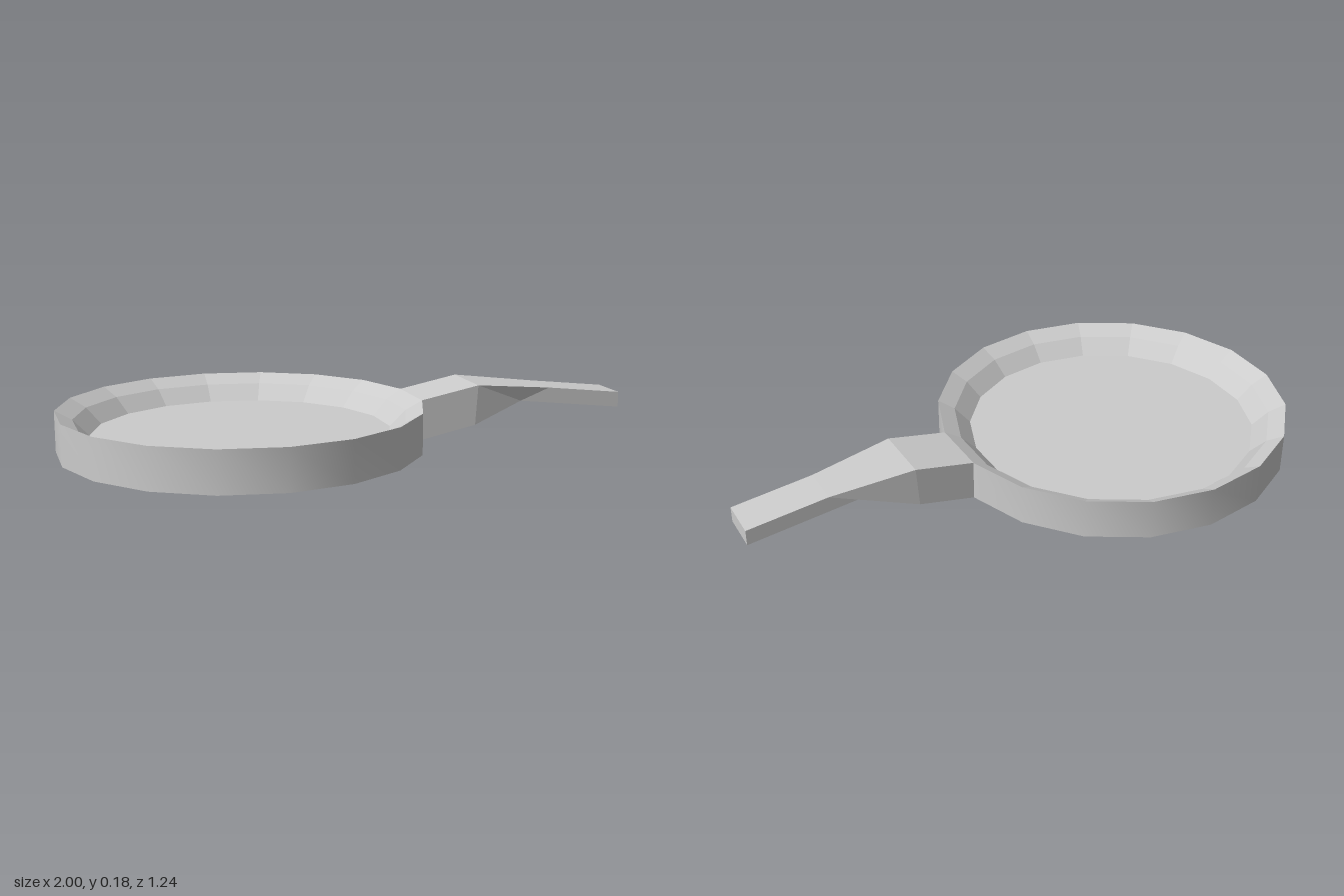
import * as THREE from 'three';
import { toCreasedNormals } from 'three/addons/utils/BufferGeometryUtils.js';

const SIDES = 18;
const PAN_X = -0.39;

// Revolved pan surface from [radius, height] points
function turned(name, points, material, crease) {
  const profile = points.map(([r, y]) => new THREE.Vector2(r, y));
  const geometry = toCreasedNormals(new THREE.LatheGeometry(profile, SIDES), crease);
  const mesh = new THREE.Mesh(geometry, material);
  mesh.name = name;
  mesh.position.x = PAN_X;
  return mesh;
}

// Box-like loft along +x; each section gives its top and bottom edges
function handleGeometry(sections) {
  const positions = [];
  const index = [];
  for (const { top, bottom, half } of sections) {
    positions.push(
      bottom[0], bottom[1], half,
      bottom[0], bottom[1], -half,
      top[0], top[1], -half,
      top[0], top[1], half
    );
  }
  for (let s = 0; s < sections.length - 1; s++) {
    for (let k = 0; k < 4; k++) {
      const a = s * 4 + k;
      const b = s * 4 + (k + 1) % 4;
      index.push(a, b, b + 4, a, b + 4, a + 4);
    }
  }
  // End cap facing +x
  const e = (sections.length - 1) * 4;
  index.push(e, e + 1, e + 2, e, e + 2, e + 3);
  const geometry = new THREE.BufferGeometry();
  geometry.setAttribute('position', new THREE.Float32BufferAttribute(positions, 3));
  geometry.setIndex(index);
  const flat = geometry.toNonIndexed();
  flat.computeVertexNormals();
  return flat;
}

export function createModel() {
  const group = new THREE.Group();
  group.name = 'fryingPan';
  const smooth = new THREE.MeshStandardMaterial({ color: 0xcccccc });
  const faceted = new THREE.MeshStandardMaterial({ color: 0xcccccc, flatShading: true });

  // Underside and straight outer wall
  group.add(turned('outerWall', [[0, 0], [0.62, 0], [0.62, 0.14]], smooth, 0.5));

  // Two-step sloping inner wall and cooking floor
  group.add(turned('innerBowl', [[0.62, 0.14], [0.562, 0.108], [0.508, 0.053], [0, 0.053]], faceted, 0.1));

  // Handle rising from the wall, then thinning and dipping to its tip
  const handle = new THREE.Mesh(handleGeometry([
    { top: [0.22, 0.14], bottom: [0.22, 0], half: 0.108 },
    { top: [0.43, 0.18], bottom: [0.42, 0.04], half: 0.108 },
    { top: [0.72, 0.148], bottom: [0.61, 0.107], half: 0.072 },
    { top: [1, 0.115], bottom: [1, 0.06], half: 0.072 }
  ]), faceted);
  handle.name = 'handle';
  group.add(handle);

  return group;
}
